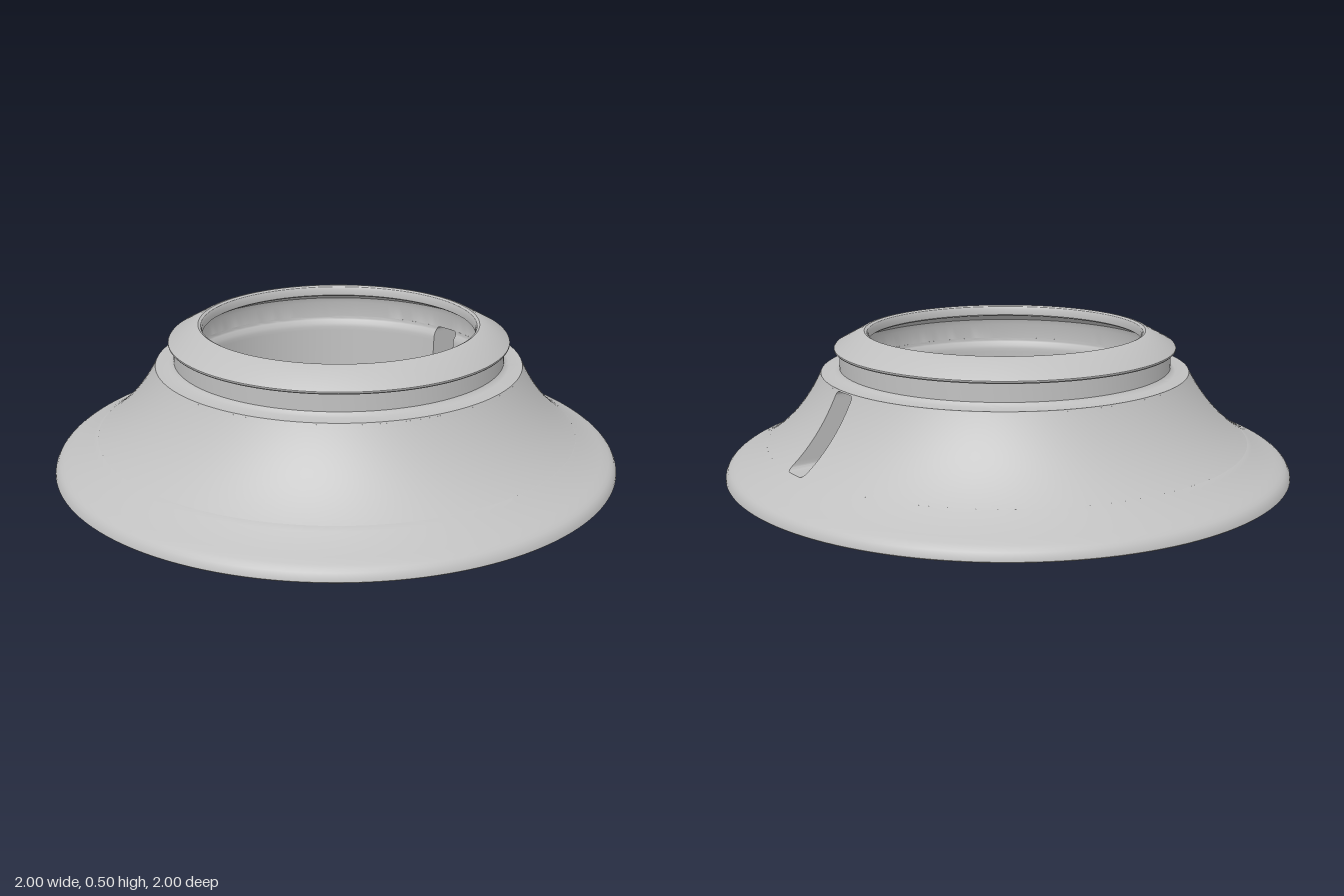
import * as THREE from 'three';
import { toCreasedNormals } from 'three/addons/utils/BufferGeometryUtils.js';

const grey = new THREE.MeshStandardMaterial({ color: 0xc0c0c0, side: THREE.DoubleSide });
grey.name = 'plain grey';

const SEGMENTS = 144;
const SLOT = { bottom: 0.11, top: 0.35, half: 0.05, corner: 0.015 };

// Radius of the flared skirt at height y (quadratic curve)
function skirtRadius(y) {
  const t = (-0.17 + Math.sqrt(0.0289 + 0.56 * (y - 0.045))) / 0.28;
  return 0.97 - 0.42 * t + 0.098 * t * t;
}

// Radius of the bore, with a small ledge below the neck
function boreRadius(y) {
  return 0.552 + 0.014 * THREE.MathUtils.clamp((y - 0.318) / 0.022, 0, 1);
}

// Half width of the rounded slot at height y
function slotHalf(y) {
  const { bottom, top, half, corner } = SLOT;
  const d = Math.max(bottom + corner - y, y - top + corner, 0);
  return half - corner + Math.sqrt(Math.max(0, corner * corner - d * d));
}

// The upper part sits slightly off the centre of the foot
const lean = (y) => 0.0135 * Math.min(1, y / 0.355);

// Heights used along the slot, denser in its rounded corners
function slotHeights() {
  const { bottom, top, corner } = SLOT;
  const ys = [];
  for (let i = 0; i <= 4; i++) ys.push(bottom + corner * (1 - Math.cos((i * Math.PI) / 8)));
  for (let i = 1; i < 16; i++) ys.push(bottom + corner + ((top - bottom - 2 * corner) * i) / 16);
  for (let i = 0; i <= 4; i++) ys.push(top - corner * (1 - Math.sin((i * Math.PI) / 8)));
  for (let i = 0; i <= 4; i++) ys[ys.length - 5 + i] = top - corner + corner * Math.sin((i * Math.PI) / 8);
  return ys;
}

// Closed cup: revolved profile whose seam opens up around the slot
function bodyGeometry() {
  const profile = []; // [radius, height, slot half width]
  const add = (...points) => points.forEach(([r, y, w = 0]) => profile.push([r, y, w]));
  const ys = slotHeights();

  add([0, 0], [0.996, 0], [1, 0.004], [0.998, 0.014], [0.99, 0.029], [0.982, 0.037]); // foot
  for (let i = 0; i <= 6; i++) {
    const y = 0.045 + ((SLOT.bottom - 0.045) * i) / 6;
    add([skirtRadius(y), y]);
  }
  ys.forEach((y) => add([skirtRadius(y), y, slotHalf(y)]));
  add([skirtRadius(SLOT.top), SLOT.top], [0.648, 0.355]);
  // shoulder, neck, thin flange and bevelled rim
  add([0.6, 0.355], [0.59, 0.359], [0.583, 0.368], [0.582, 0.43], [0.597, 0.43], [0.6, 0.434],
    [0.6, 0.439], [0.597, 0.443], [0.505, 0.493], [0.494, 0.495], [0.485, 0.49], [0.48, 0.48]);
  // underside of the lip, groove and bore
  add([0.48, 0.458], [0.49, 0.452], [0.54, 0.44], [0.56, 0.425], [0.566, 0.405], [0.566, SLOT.top]);
  [...ys].reverse().forEach((y) => add([boreRadius(y), y, slotHalf(y)]));
  add([0.552, SLOT.bottom], [0.552, 0.012], [0, 0.012]);

  const geometry = new THREE.LatheGeometry(profile.map(([r, y]) => new THREE.Vector2(r, y)), SEGMENTS);
  const pos = geometry.attributes.position;
  for (let i = 0; i <= SEGMENTS; i++) {
    profile.forEach(([r, y, w], j) => {
      const gap = w ? Math.asin(w / r) : 0;
      const a = gap + ((Math.PI - gap) * 2 * i) / SEGMENTS;
      pos.setXYZ(i * profile.length + j, r * Math.cos(a) + lean(y), y, -r * Math.sin(a));
    });
  }
  return toCreasedNormals(geometry, 0.6);
}

// Walls of the slot, running from the bore to the skirt
function slotGeometry() {
  const ys = slotHeights();
  const side = ys.map((y) => [slotHalf(y), y]);
  const floor = [-1, -0.5, 0, 0.5].map((k) => [k * slotHalf(SLOT.bottom), SLOT.bottom]);
  const ceiling = [0.5, 0, -0.5].map((k) => [k * slotHalf(SLOT.top), SLOT.top]);
  const back = side.map(([z, y]) => [-z, y]).reverse();
  const loop = [...floor, ...side, ...ceiling, ...back];

  const geometry = new THREE.PlaneGeometry(1, 1, loop.length - 1, 1);
  const pos = geometry.attributes.position;
  loop.forEach(([z, y], i) => {
    [skirtRadius(y), boreRadius(y)].forEach((r, row) => {
      pos.setXYZ(row * loop.length + i, Math.sqrt(r * r - z * z) + lean(y), y, z);
    });
  });
  return toCreasedNormals(geometry, 0.6);
}

export function createModel() {
  const model = new THREE.Group();
  model.name = 'flaredCup';
  const parts = { cupBody: bodyGeometry(), slotWalls: slotGeometry() };
  for (const [name, geometry] of Object.entries(parts)) {
    const mesh = new THREE.Mesh(geometry, grey);
    mesh.name = name;
    model.add(mesh);
  }
  return model;
}
